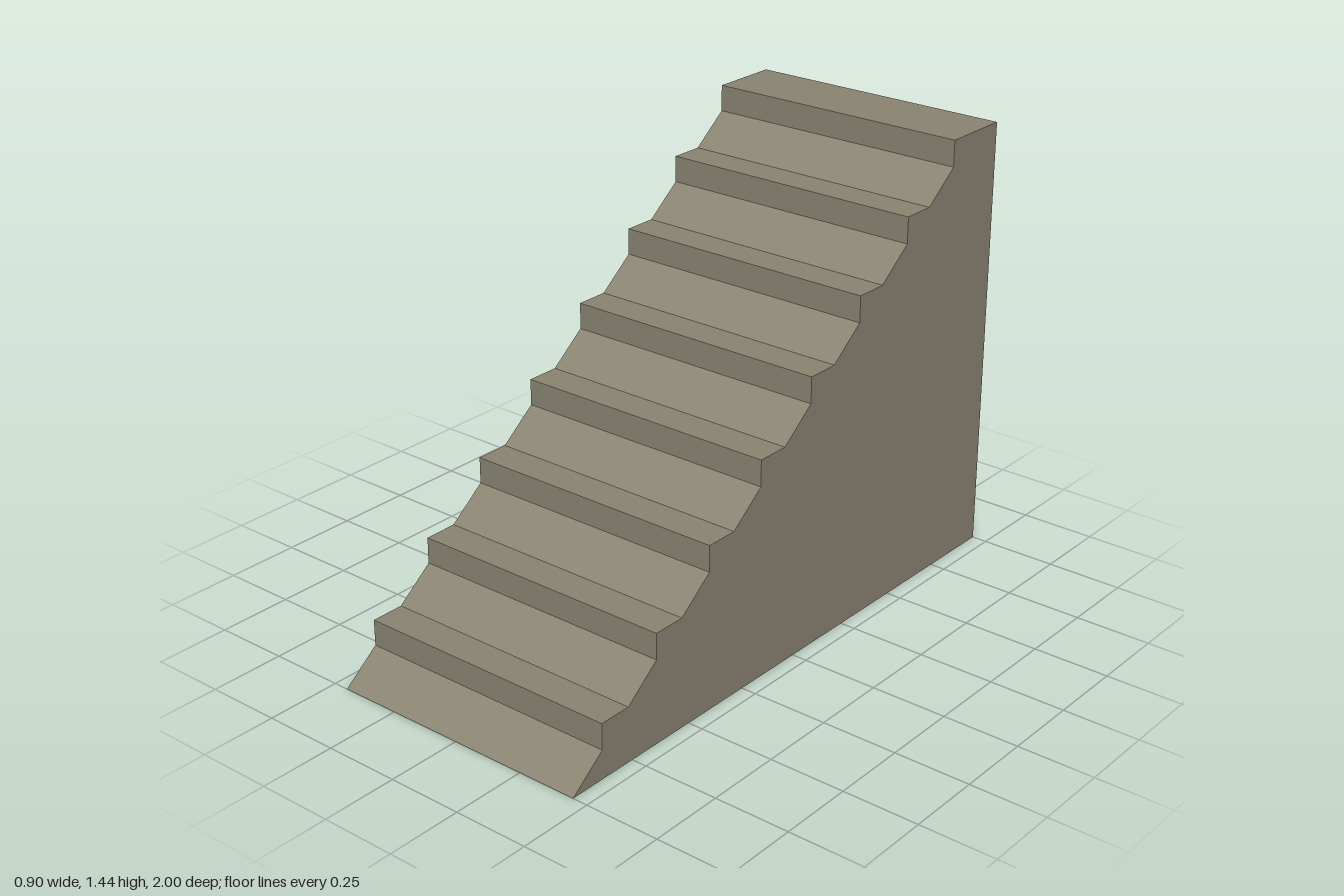
import * as THREE from 'three';

const WIDTH = 0.9, STEPS = 8, RISE = 0.1806, PITCH = 0.2346;
const SLOPE_DEPTH = 0.123, SLOPE_HEIGHT = 0.095;

export function createModel() {
  const group = new THREE.Group();
  const stone = new THREE.MeshStandardMaterial({ color: 0x8a8472, side: THREE.DoubleSide });
  stone.name = 'stone';

  const add = (name, geometry) => {
    const mesh = new THREE.Mesh(geometry, stone);
    mesh.name = name;
    group.add(mesh);
    return mesh;
  };

  // Full-width panel between two [z, y] profile points, facing outward
  const panel = (name, [z0, y0], [z1, y1]) => {
    const mesh = add(name, new THREE.PlaneGeometry(WIDTH, Math.hypot(z1 - z0, y1 - y0)));
    mesh.position.set(0, (y0 + y1) / 2, (z0 + z1) / 2);
    mesh.rotation.x = Math.atan2(z1 - z0, y1 - y0);
  };

  // Each step: sloped face, upright riser, flat tread
  const profile = [[1, 0]];
  for (let i = 0; i < STEPS; i++) {
    const y = RISE * i, z = 1 - PITCH * i;
    const points = [
      [z - SLOPE_DEPTH, y + SLOPE_HEIGHT],
      [z - SLOPE_DEPTH, y + RISE],
      [i === STEPS - 1 ? -1 : z - PITCH, y + RISE],
    ];
    ['slope', 'riser', 'tread'].forEach((part, k) => {
      panel(part + (i + 1), profile[profile.length - 1], points[k]);
      profile.push(points[k]);
    });
  }

  // Back wall, and a base that stops short of the open front lip
  panel('backWall', [-1, RISE * STEPS], [-1, 0]);
  panel('base', [-1, 0], [1 - SLOPE_DEPTH, 0]);
  profile.push([-1, 0]);

  // Stepped side walls
  for (const side of [1, -1]) {
    const shape = new THREE.Shape(profile.map(([z, y]) => new THREE.Vector2(-side * z, y)));
    const wall = add(side > 0 ? 'leftWall' : 'rightWall', new THREE.ShapeGeometry(shape));
    wall.rotation.y = side * Math.PI / 2;
    wall.position.x = side * WIDTH / 2;
  }
  return group;
}
